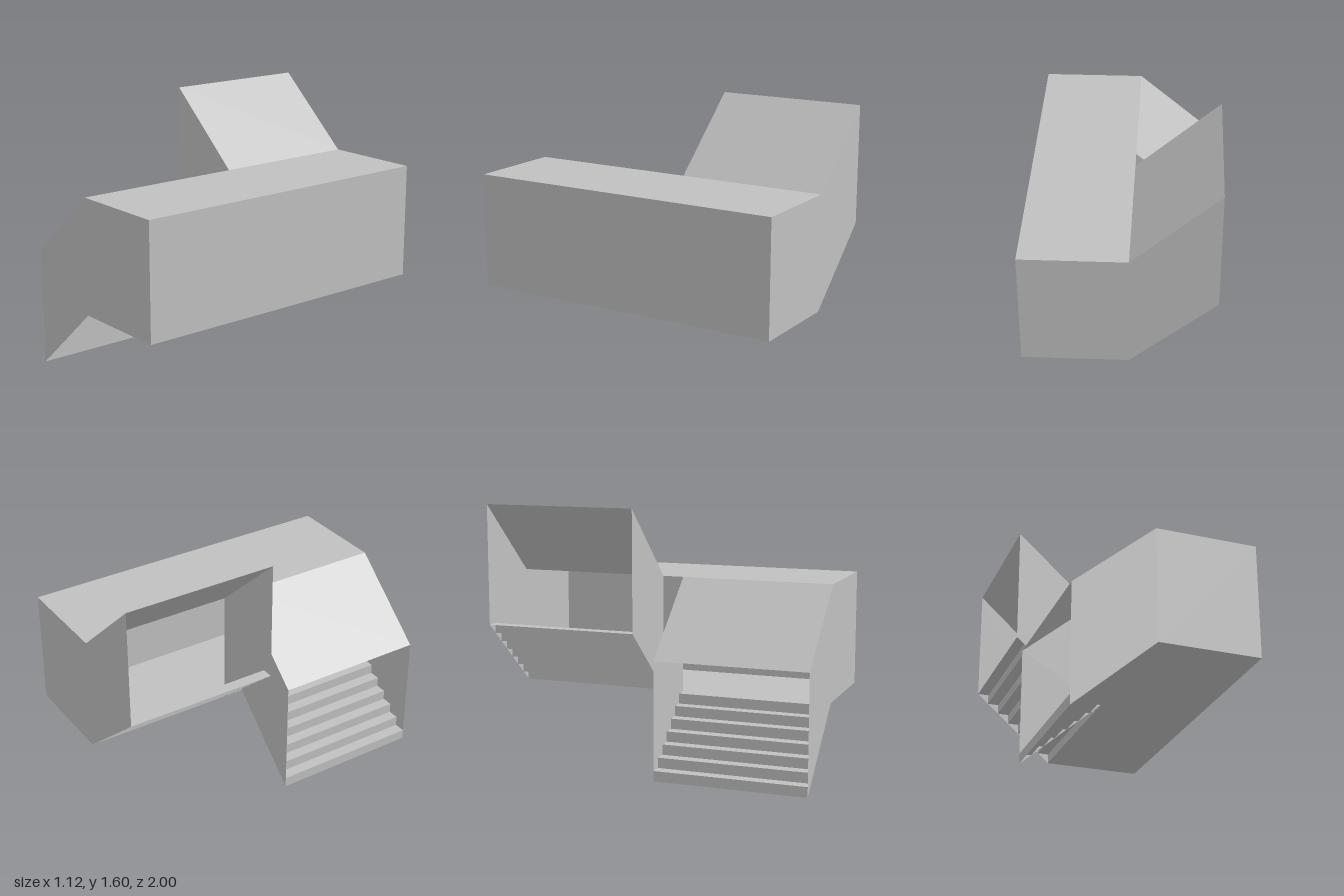
import * as THREE from 'three';

const concrete = new THREE.MeshStandardMaterial({ color: 0xc0c0c0, side: THREE.DoubleSide });
concrete.name = 'concrete grey';

// Main dimensions
const OUT = 0.56, INNER = -0.06, GAP = 0.065, STEPS = 7;
const FLOOR = 0.44, CEILING = 1.153;
const LOW_TOP = 0.722, HIGH_FLOOR = 0.873, HIGH_TOP = 1.603;

function addMesh(parent, name, geometry) {
  const mesh = new THREE.Mesh(geometry, concrete);
  mesh.name = name;
  parent.add(mesh);
  return mesh;
}

// Sheet swept along z from a profile of [x, y] points, flat shaded
function sheet(profile, z0, z1) {
  const pos = [];
  for (let i = 0; i < profile.length - 1; i++) {
    const [ax, ay] = profile[i], [bx, by] = profile[i + 1];
    pos.push(ax, ay, z0, bx, by, z0, bx, by, z1);
    pos.push(ax, ay, z0, bx, by, z1, ax, ay, z1);
  }
  const geometry = new THREE.BufferGeometry();
  geometry.setAttribute('position', new THREE.Float32BufferAttribute(pos, 3));
  geometry.computeVertexNormals();
  return geometry;
}

// Flat upright wall from an outline of [x, y] points, facing +z or -z
function wall(outline, z, facing) {
  const shape = new THREE.Shape(outline.map(([x, y]) => new THREE.Vector2(x * facing, y)));
  const geometry = new THREE.ShapeGeometry(shape);
  if (facing < 0) geometry.rotateY(Math.PI);
  return geometry.translate(0, 0, z);
}

// Stepped profile running towards -x; riserFirst for climbing, tread first for descending
function stairs(yStart, yEnd, riserFirst) {
  const points = [[INNER, yStart]];
  for (let i = 1; i <= STEPS; i++) {
    const t = i / STEPS, s = (i - 1) / STEPS;
    const x = THREE.MathUtils.lerp(INNER, -OUT, t);
    const y = THREE.MathUtils.lerp(yStart, yEnd, t);
    if (riserFirst) points.push([THREE.MathUtils.lerp(INNER, -OUT, s), y]);
    else points.push([x, THREE.MathUtils.lerp(yStart, yEnd, s)]);
    points.push([x, y]);
  }
  return points;
}

// Enclosed flight open at its -x end
function flight(name, yEnd, topEnd, z0, z1, climbs) {
  const group = new THREE.Group();
  group.name = name;
  const side = [[-OUT, yEnd], [INNER, FLOOR], [INNER, CEILING], [-OUT, topEnd]];
  addMesh(group, 'steps', sheet(stairs(FLOOR, yEnd, climbs), z0, z1));
  addMesh(group, 'slopingRoof', sheet([[INNER, CEILING], [-OUT, topEnd]], z0, z1));
  addMesh(group, 'backSideWall', wall(side, z0, -1));
  addMesh(group, 'frontSideWall', wall(side, z1, 1));
  return group;
}

export function createModel() {
  const model = new THREE.Group();
  model.name = 'stairwell';

  // Landing
  const landing = new THREE.Group();
  landing.name = 'landing';
  const end = [[INNER, FLOOR], [OUT, FLOOR], [OUT, CEILING], [INNER, CEILING]];
  addMesh(landing, 'floor', sheet([[INNER, FLOOR], [OUT, FLOOR]], -1, 1));
  addMesh(landing, 'outerWall', sheet([[OUT, FLOOR], [OUT, CEILING]], -1, 1));
  addMesh(landing, 'ceiling', sheet([[OUT, CEILING], [INNER, CEILING]], -1, 1));
  addMesh(landing, 'frontWall', wall(end, 1, 1));
  addMesh(landing, 'backWall', wall(end, -1, -1));
  // Narrow wall between the two flights
  addMesh(landing, 'middleWall', sheet([[INNER, CEILING], [INNER, FLOOR]], -GAP, GAP));
  model.add(landing);

  // Flights
  model.add(flight('lowerFlight', 0, LOW_TOP, GAP, 1, false));
  model.add(flight('upperFlight', HIGH_FLOOR, HIGH_TOP, -1, -GAP, true));
  return model;
}
